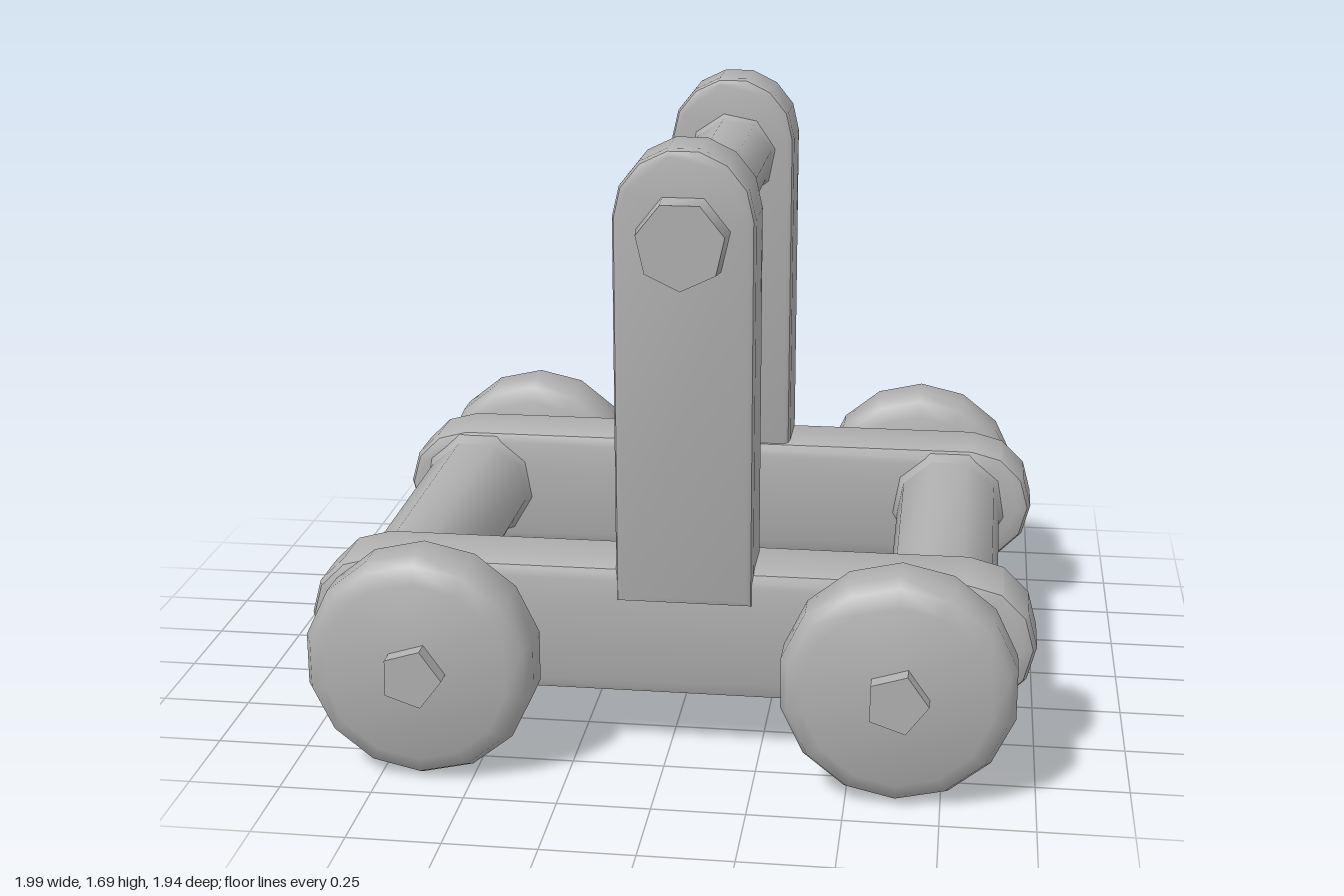
import * as THREE from 'three';
import { toCreasedNormals } from 'three/addons/utils/BufferGeometryUtils.js';

export function createModel() {
  const model = new THREE.Group();
  model.name = 'wheeledFrame';
  const grey = new THREE.MeshStandardMaterial({ color: 0xb0b0b0 });
  grey.name = 'plain grey';

  const add = (name, geometry, x, y, z, crease = 0.6) => {
    const mesh = new THREE.Mesh(toCreasedNormals(geometry, crease), grey);
    mesh.name = name;
    mesh.position.set(x, y, z);
    model.add(mesh);
    return mesh;
  };

  // Plank cut from an outline, with chamfered edges, spanning z0 to z1
  const plank = (name, points, z0, z1, bevel) => {
    const shape = new THREE.Shape(points.map(([x, y]) => new THREE.Vector2(x, y)));
    const geometry = new THREE.ExtrudeGeometry(shape, {
      depth: z1 - z0 - 2 * bevel, bevelEnabled: true, bevelThickness: bevel,
      bevelSize: bevel, bevelOffset: -bevel, bevelSegments: 2,
    });
    add(name, geometry, 0, 0, z0 + bevel);
  };

  // Points of an arc, for rounded outlines
  const arc = (cx, cy, r, from, to, n) => Array.from({ length: n + 1 }, (_, i) => {
    const a = from + (to - from) * i / n;
    return [cx + r * Math.cos(a), cy + r * Math.sin(a)];
  });

  // Rod along z, with its own radius at each end
  const rod = (name, x, y, z0, z1, r0, r1, sides, turn = 0) => {
    const geometry = new THREE.CylinderGeometry(r1, r0, z1 - z0, sides, 1, false, turn);
    geometry.rotateX(Math.PI / 2);
    add(name, geometry, x, y, (z0 + z1) / 2, 0.9);
  };

  const H = Math.PI / 2;
  const railOutline = [
    ...arc(-0.81, 0.362, 0.187, H, 3 * H, 6),
    ...arc(0.805, 0.362, 0.187, -H, H, 6),
  ];
  const postOutline = [
    [-0.14, 0.45], [0.232, 0.45],
    ...arc(0.046, 1.51, 0.187, 0, Math.PI, 7),
  ];

  // Side rails and uprights
  plank('frontRail', railOutline, 0.44, 0.67, 0.035);
  plank('backRail', railOutline, -0.67, -0.45, 0.035);
  plank('frontPost', postOutline, 0.48, 0.68, 0.02);
  plank('backPost', postOutline, -0.67, -0.465, 0.02);

  // Lower crossbars with a collar at each end
  for (const [side, x] of [['right', -0.77], ['left', 0.735]]) {
    rod(side + 'Crossbar', x, 0.362, -0.46, 0.46, 0.162, 0.155, 9);
    rod(side + 'FrontCollar', x, 0.362, 0.42, 0.455, 0.15, 0.183, 9);
    rod(side + 'BackCollar', x, 0.362, -0.465, -0.415, 0.183, 0.16, 9);
  }

  // Upper crossbar, its collars and end caps
  rod('upperCrossbar', 0.046, 1.455, -0.5, 0.5, 0.123, 0.116, 8, 0.2);
  rod('upperFrontCollar', 0.046, 1.455, 0.45, 0.49, 0.115, 0.14, 8, 0.2);
  rod('upperBackCollar', 0.046, 1.455, -0.48, -0.435, 0.14, 0.12, 8, 0.2);
  rod('frontCap', 0.046, 1.455, 0.66, 0.745, 0.128, 0.118, 7);
  rod('backCap', 0.046, 1.455, -0.725, -0.65, 0.105, 0.13, 7);
  rod('backCapTip', 0.046, 1.455, -0.748, -0.725, 0.05, 0.105, 7);

  // Wheels: rounded discs with small hub pegs
  const wheelProfile = [
    [0, 0.705], [0.25, 0.7], [0.295, 0.722], [0.315, 0.765],
    [0.315, 0.86], [0.295, 0.9], [0.25, 0.92], [0, 0.928],
  ].map(([r, z]) => new THREE.Vector2(r, z));
  for (const [side, x] of [['right', -0.64], ['left', 0.632]]) {
    for (const [end, s] of [['Front', 1], ['Back', -1]]) {
      const wheel = new THREE.LatheGeometry(wheelProfile, 14);
      wheel.rotateX(s * H);
      add(side + end + 'Wheel', wheel, x, 0.322, 0, 0.75);
      const z = [s * 0.9, s * 0.972].sort((a, b) => a - b);
      rod(side + end + 'Hub', x, 0.325, z[0], z[1], 0.084, 0.084, 5, 0.3);
    }
  }
  return model;
}
